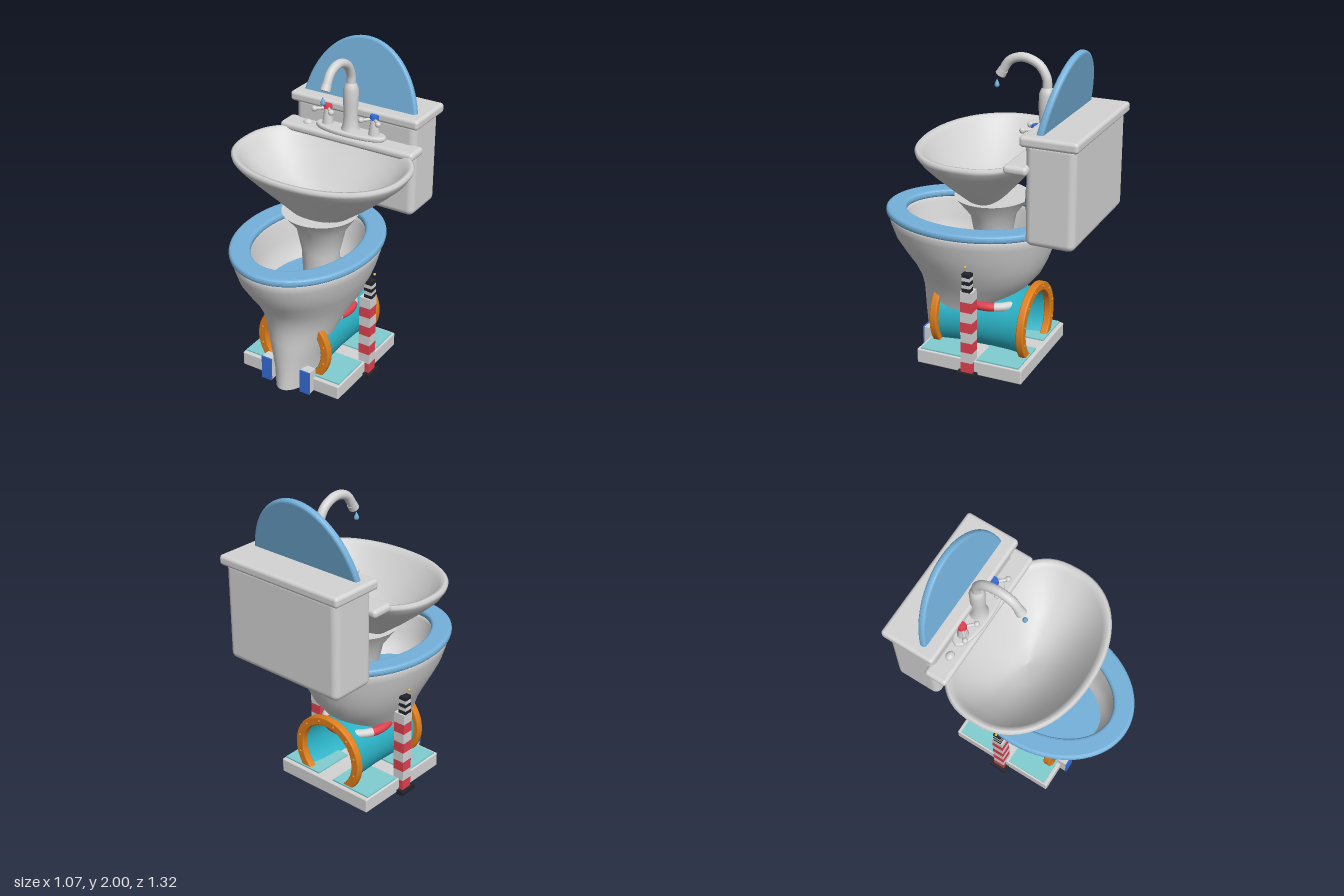
import * as THREE from 'three';
import { RoundedBoxGeometry } from 'three/addons/geometries/RoundedBoxGeometry.js';

const mat = (name, color, side = THREE.FrontSide) => {
  const m = new THREE.MeshStandardMaterial({ color, side });
  m.name = name;
  return m;
};

// Smooth surface through oval sections [y, halfWidth, zFront, zBack, zCentre?]; a repeated row makes a crease
function loft(rows, nFront = 2, nBack = 2, seg = 64) {
  const pos = [], idx = [];
  rows.forEach(([y, rx, zf, zb, zc = (zf + zb) / 2], i) => {
    for (let j = 0; j < seg; j++) {
      const a = (j / seg) * Math.PI * 2, c = Math.cos(a), s = Math.sin(a);
      const e = 2 / (s > 0 ? nFront : nBack), rz = s > 0 ? zf - zc : zc - zb;
      pos.push(rx * Math.sign(c) * Math.abs(c) ** e, y, zc + rz * Math.sign(s) * Math.abs(s) ** e);
      if (i === rows.length - 1) continue;
      const p = i * seg + j, q = i * seg + (j + 1) % seg;
      idx.push(p, p + seg, q, q, p + seg, q + seg);
    }
  });
  const g = new THREE.BufferGeometry();
  g.setAttribute('position', new THREE.Float32BufferAttribute(pos, 3));
  g.setIndex(idx);
  g.computeVertexNormals();
  return g;
}

// Oval plate centred on its thickness, optionally with an oval hole
function ovalPlate(rx, ry, thick, bevel, hx = 0, hy = 0) {
  const s = new THREE.Shape().absellipse(0, 0, rx - bevel, ry - bevel, 0, Math.PI * 2);
  if (hx) s.holes.push(new THREE.Path().absellipse(0, 0, hx + bevel, hy + bevel, 0, Math.PI * 2));
  const depth = thick - 2 * bevel;
  return new THREE.ExtrudeGeometry(s, {
    depth, bevelEnabled: true, bevelSize: bevel, bevelThickness: bevel, bevelSegments: 3, curveSegments: 48,
  }).translate(0, 0, -depth / 2);
}

export function createModel() {
  const model = new THREE.Group();
  const porcelain = mat('porcelain', 0xd4d4d5), blue = mat('seat blue', 0x74b0da);
  const teal = mat('teal', 0x2bb3c6, THREE.DoubleSide), pale = mat('pale teal', 0x7fcdd0);
  const orange = mat('orange', 0xdf7f1c), red = mat('red', 0xe0414f);
  const cobalt = mat('cobalt', 0x346bd6), dark = mat('dark', 0x22242c), yellow = mat('yellow', 0xe8b838);

  const add = (name, geo, m, x = 0, y = 0, z = 0, parent = model) => {
    const mesh = new THREE.Mesh(geo, m);
    mesh.name = name;
    mesh.position.set(x, y, z);
    parent.add(mesh);
    return mesh;
  };
  const rbox = (w, h, d, r) => new RoundedBoxGeometry(w, h, d, 4, r);
  const box = (w, h, d) => new THREE.BoxGeometry(w, h, d);
  const cyl = (a, b, h, n = 24) => new THREE.CylinderGeometry(a, b, h, n);
  const ball = (r) => new THREE.SphereGeometry(r, 16, 12);

  // Cistern, its cover and the raised lid
  add('cistern', rbox(0.8, 0.59, 0.285, 0.04), porcelain, 0, 1.3, -0.497);
  add('cisternCover', rbox(0.85, 0.06, 0.33, 0.02), porcelain, 0, 1.6, -0.495);
  add('raisedLid', ovalPlate(0.385, 0.51, 0.04, 0.015), blue, 0, 1.5, -0.4).rotation.x = -0.2;

  // Bowl, seat and water
  add('bowl', loft([
    [0.11, 0.001, 0.21, 0.2], [0.11, 0.11, 0.435, -0.04], [0.11, 0.11, 0.435, -0.04],
    [0.22, 0.125, 0.43, -0.03], [0.33, 0.15, 0.435, -0.03], [0.43, 0.185, 0.435, -0.06],
    [0.5, 0.21, 0.437, -0.13], [0.58, 0.25, 0.452, -0.22], [0.66, 0.293, 0.49, -0.285],
    [0.74, 0.33, 0.55, -0.325], [0.82, 0.363, 0.605, -0.355], [0.9, 0.385, 0.635, -0.38],
    [0.94, 0.395, 0.645, -0.39], [0.955, 0.385, 0.635, -0.38],
    [0.955, 0.32, 0.57, -0.31], [0.93, 0.3, 0.55, -0.29], [0.82, 0.29, 0.54, -0.275],
    [0.72, 0.26, 0.5, -0.24], [0.63, 0.2, 0.43, -0.17],
  ]), porcelain);
  const seat = ovalPlate(0.41, 0.53, 0.045, 0.018, 0.285, 0.41).rotateX(-Math.PI / 2);
  add('seat', seat, blue, 0, 0.977, 0.13);
  const water = new THREE.CircleGeometry(1, 48).rotateX(-Math.PI / 2).scale(0.245, 1, 0.36);
  add('water', water, blue, 0, 0.69, 0.13);

  // Basin with its pedestal
  add('basin', loft([
    [1.05, 0.1, 0.09, -0.06, 0], [1.11, 0.19, 0.14, -0.07, 0], [1.2, 0.31, 0.215, -0.15, 0],
    [1.3, 0.43, 0.305, -0.24, 0], [1.37, 0.505, 0.365, -0.315, 0], [1.41, 0.53, 0.4, -0.35, 0],
    [1.43, 0.535, 0.405, -0.36, 0], [1.442, 0.522, 0.395, -0.35, 0], [1.438, 0.5, 0.37, -0.33, 0],
    [1.41, 0.485, 0.355, -0.315, 0], [1.33, 0.41, 0.29, -0.25, 0], [1.23, 0.29, 0.2, -0.15, 0],
    [1.17, 0.15, 0.1, -0.08, 0], [1.15, 0.001, 0.001, -0.001, 0],
  ], 2.15, 2.6), porcelain);
  add('pedestal', loft([
    [0.6, 0.1, 0.1, -0.1], [0.85, 0.115, 0.105, -0.105], [1, 0.15, 0.13, -0.13],
    [1.11, 0.225, 0.225, -0.21], [1.11, 0.225, 0.225, -0.21], [1.11, 0.001, 0.001, -0.001],
  ]), porcelain);
  add('basinLedge', rbox(0.89, 0.05, 0.14, 0.022), porcelain, 0, 1.44, -0.315);
  add('soap', ball(0.03).scale(1, 0.7, 0.8), porcelain, -0.29, 1.465, -0.315);

  // Tap: base, column, spout and drop
  const base = ovalPlate(0.23, 0.075, 0.03, 0.012).rotateX(-Math.PI / 2);
  add('tapBase', base, porcelain, 0, 1.48, -0.32);
  const columnProfile = [[0.058, 0], [0.046, 0.03], [0.04, 0.1], [0.044, 0.16], [0.045, 0.25], [0.036, 0.275], [0.028, 0.29]];
  add('tapColumn', new THREE.LatheGeometry(columnProfile.map((p) => new THREE.Vector2(...p)), 32), porcelain, 0, 1.49, -0.318);
  const path = new THREE.CatmullRomCurve3([
    [1.76, -0.32], [1.83, -0.315], [1.9, -0.27], [1.934, -0.18], [1.91, -0.1], [1.84, -0.05],
  ].map(([y, z]) => new THREE.Vector3(0, y, z)));
  add('spout', new THREE.TubeGeometry(path, 40, 0.026, 20), porcelain);
  add('spoutTip', cyl(0.028, 0.03, 0.035), porcelain, 0, 1.838, -0.05).rotation.x = -0.55;
  const drop = [[0.001, 0], [0.012, 0.006], [0.015, 0.016], [0.01, 0.03], [0.001, 0.05]];
  add('waterDrop', new THREE.LatheGeometry(drop.map((p) => new THREE.Vector2(...p)), 16), blue, 0, 1.745, -0.02);

  // Cross handles
  for (const [side, capMat] of [[-1, red], [1, cobalt]]) {
    const handle = new THREE.Group();
    handle.name = 'tapHandle';
    handle.position.set(side * 0.155, 1.49, -0.32);
    add('handleStem', cyl(0.02, 0.034, 0.1), porcelain, 0, 0.05, 0, handle);
    add('handleCap', cyl(0.024, 0.028, 0.025), capMat, 0, 0.112, 0, handle);
    for (let k = 0; k < 4; k++) {
      const a = Math.PI / 4 + k * Math.PI / 2, c = Math.cos(a), s = Math.sin(a);
      const spoke = add('handleSpoke', cyl(0.009, 0.009, 0.08, 12), porcelain, c * 0.04, 0.1, s * 0.04, handle);
      spoke.rotation.set(0, -a, Math.PI / 2);
      add('handleKnob', ball(0.017), porcelain, c * 0.08, 0.1, s * 0.08, handle);
    }
    model.add(handle);
  }

  // Platform with pale corner tiles
  add('platform', rbox(0.67, 0.09, 0.665, 0.008), porcelain, 0, 0.155, 0.012);
  for (const sx of [-1, 1]) for (const sz of [-1, 1])
    add('platformTile', box(0.27, 0.009, 0.26), pale, sx * 0.19, 0.204, 0.012 + sz * 0.18);

  // Tunnel through the foot, with bolted end rings
  const tunnelProfile = [[0.215, -0.27], [0.198, -0.17], [0.193, 0], [0.198, 0.17], [0.215, 0.28]];
  const tunnel = new THREE.LatheGeometry(tunnelProfile.map((p) => new THREE.Vector2(...p)), 48).rotateX(Math.PI / 2);
  add('tunnel', tunnel, teal, 0, 0.35, 0);
  for (const z of [-0.267, 0.285]) {
    add('tunnelRing', ovalPlate(0.244, 0.244, 0.045, 0.008, 0.19, 0.19), orange, 0, 0.35, z);
    for (let k = 0; k < 12; k++) {
      const a = (k + 0.5) * Math.PI / 6;
      add('ringBolt', ball(0.008), orange, 0.218 * Math.cos(a), 0.35 + 0.218 * Math.sin(a), z + Math.sign(z) * 0.022);
    }
  }

  // Striped float ring round the foot
  for (let k = 0; k < 8; k++) {
    const arc = new THREE.TorusGeometry(0.19, 0.026, 12, 8, Math.PI / 4).rotateX(Math.PI / 2);
    add('floatRing', arc, k % 2 ? porcelain : red, 0, 0.485, -0.01).rotation.y = (k + 0.5) * Math.PI / 4;
  }

  for (const s of [-1, 1]) {
    // Front stops
    add('stopBlock', box(0.065, 0.145, 0.06), porcelain, s * 0.133, 0.183, 0.352);
    add('stopFace', box(0.067, 0.15, 0.009), cobalt, s * 0.133, 0.183, 0.386);

    // Striped posts
    const post = new THREE.Group();
    post.name = 'stripedPost';
    post.position.set(s * 0.328, 0, 0.01);
    add('postFoot', box(0.11, 0.025, 0.115), dark, 0, 0.118, 0, post);
    for (let k = 0; k < 8; k++)
      add('postBand', box(0.072, 0.064, 0.072), k % 2 ? porcelain : red, 0, 0.162 + k * 0.064, 0, post);
    for (let k = 0; k < 5; k++)
      add('postTopBand', box(0.05, 0.024, 0.05), k % 2 ? porcelain : dark, s * 0.012, 0.654 + k * 0.022, 0, post);
    add('postTip', ball(0.008), yellow, s * 0.04, 0.8, 0, post);
    model.add(post);
  }

  // Underside: dark panels, a pale hatch and a small hanging float
  for (const s of [-1, 1]) {
    add('underPanel', box(0.28, 0.008, 0.08), dark, 0, 0.107, s * 0.14);
    add('underVent', box(0.05, 0.008, 0.03), orange, s * 0.2, 0.107, 0.14);
    add('floatPad', ball(0.022), dark, s * 0.05, 0.085, 0.07);
    add('floatPad', ball(0.022), cobalt, s * 0.05, 0.085, -0.07);
  }
  add('underHatch', box(0.28, 0.008, 0.2), pale, 0, 0.107, 0);
  const half = (r, d) => new THREE.CylinderGeometry(r, r, d, 32, 1, false, Math.PI / 2, Math.PI).rotateX(Math.PI / 2);
  const keel = half(0.08, 0.03), rim = new THREE.TorusGeometry(0.084, 0.014, 12, 32, Math.PI).rotateZ(Math.PI);
  add('floatBody', keel, teal, 0, 0.1, 0.01);
  add('floatRim', rim, red, 0, 0.1, 0.01);
  return model;
}
